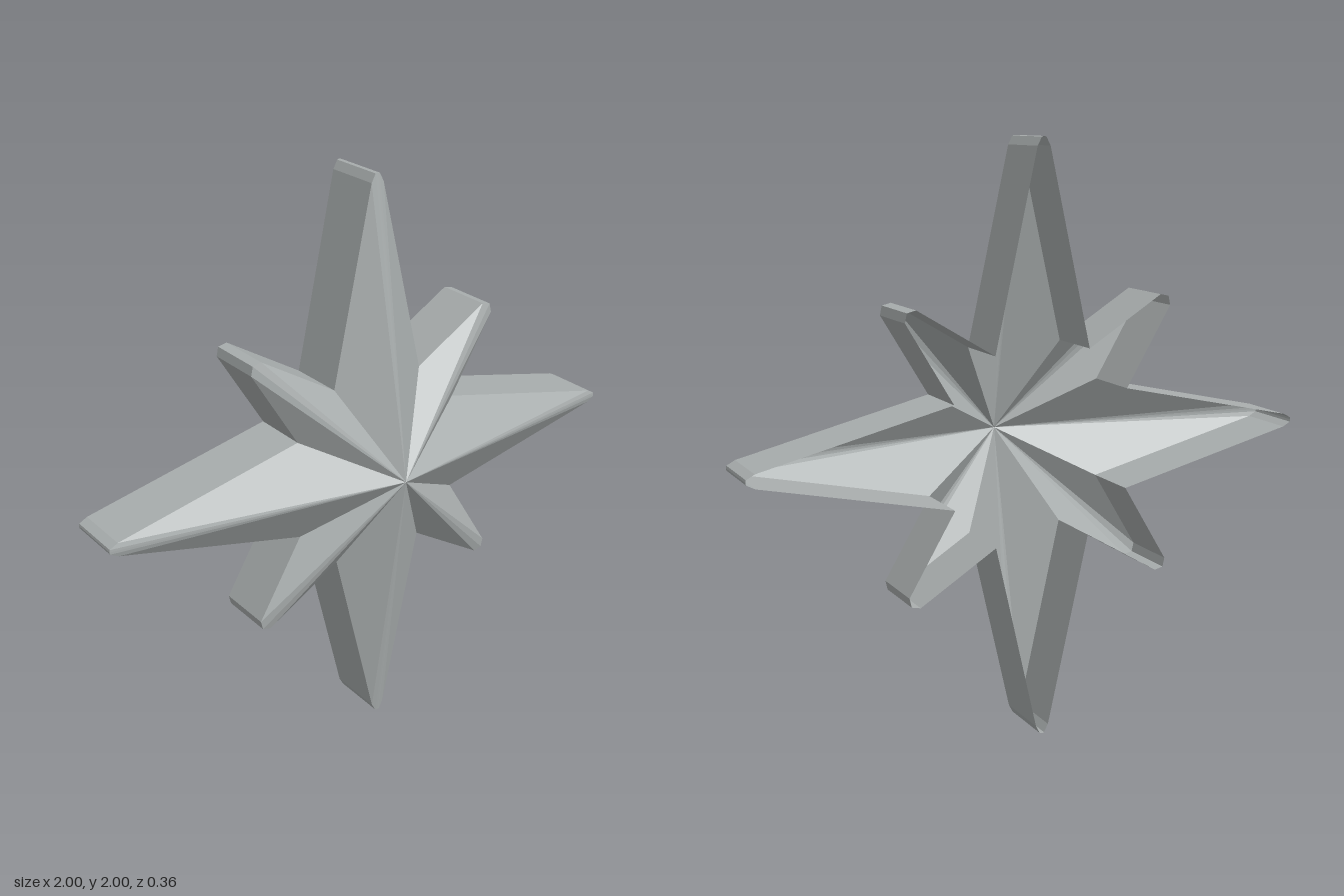
import * as THREE from 'three';

const CENTRE_Y = 1, RIM_Z = 0.023, BACK_Z = -0.182, APEX_Z = 0.182;

// One quarter of the star outline, from the side point round to the top point
const QUARTER = [
  [1, 0], [0.998, 0.008], [0.97, 0.023], [0.317, 0.172],
  [0.48, 0.442], [0.473, 0.473], [0.442, 0.48],
  [0.172, 0.317], [0.023, 0.97], [0.008, 0.998],
];

function starOutline() {
  const points = [];
  for (let q = 0; q < 4; q++) {
    const c = Math.round(Math.cos(q * Math.PI / 2));
    const s = Math.round(Math.sin(q * Math.PI / 2));
    for (const [x, y] of QUARTER) points.push([x * c - y * s, x * s + y * c]);
  }
  return points;
}

function facets(name, corners, material) {
  const geometry = new THREE.BufferGeometry();
  geometry.setAttribute('position', new THREE.Float32BufferAttribute(corners.flat(), 3));
  geometry.computeVertexNormals();
  const mesh = new THREE.Mesh(geometry, material);
  mesh.name = name;
  return mesh;
}

export function createModel() {
  const grey = new THREE.MeshStandardMaterial({
    color: 0xa9aeae, flatShading: true, side: THREE.DoubleSide,
  });
  grey.name = 'stone grey';

  const outline = starOutline();
  const face = [], wall = [];
  outline.forEach(([x0, y0], i) => {
    const [x1, y1] = outline[(i + 1) % outline.length];
    const a = [x0, y0, RIM_Z], b = [x1, y1, RIM_Z];
    const c = [x0, y0, BACK_Z], d = [x1, y1, BACK_Z];
    face.push([0, 0, APEX_Z], a, b);   // ridged face rising to the apex
    wall.push(a, c, d, a, d, b);       // side wall, open at the back
  });

  const star = new THREE.Group();
  star.name = 'eightPointStar';
  star.add(facets('facetedFront', face, grey), facets('sideWall', wall, grey));
  star.position.y = CENTRE_Y;

  const model = new THREE.Group();
  model.add(star);
  return model;
}
